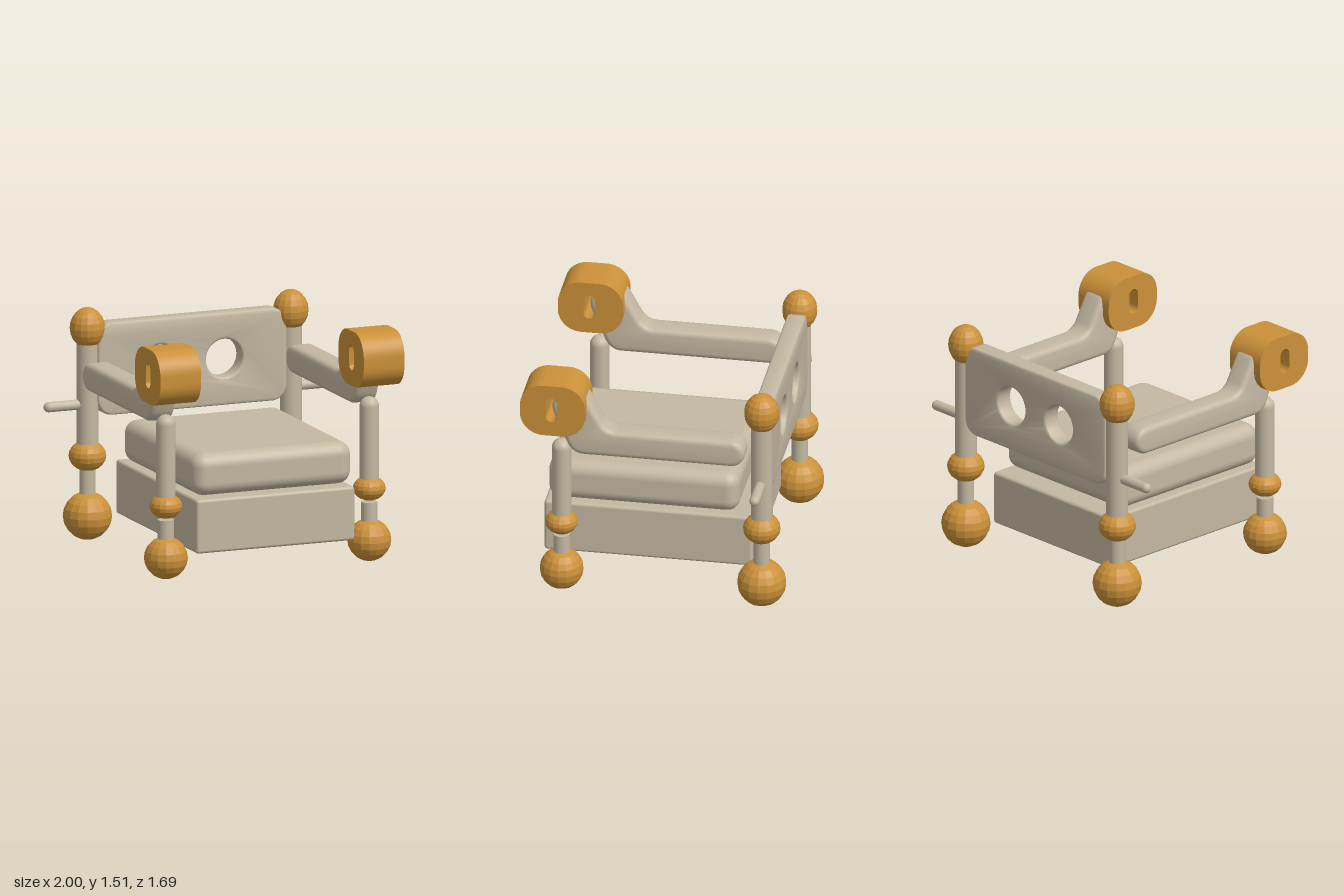
import * as THREE from 'three';
import { toCreasedNormals } from 'three/addons/utils/BufferGeometryUtils.js';
import { RoundedBoxGeometry } from 'three/addons/geometries/RoundedBoxGeometry.js';

export function createModel() {
  const model = new THREE.Group();
  model.name = 'armchair';
  const stone = new THREE.MeshStandardMaterial({ color: 0xc4b8a2 });
  stone.name = 'warm stone';
  const amber = new THREE.MeshStandardMaterial({ color: 0xcb9139 });
  amber.name = 'amber';

  const add = (name, geometry, material, x = 0, y = 0, z = 0) => {
    const mesh = new THREE.Mesh(geometry, material);
    mesh.name = name;
    mesh.position.set(x, y, z);
    model.add(mesh);
    return mesh;
  };

  // Extrusion centred on its depth, with the bevel kept inside the outline
  const slab = (shape, depth, bevel, curveSegments = 12) => {
    const g = new THREE.ExtrudeGeometry(shape, {
      depth: depth - 2 * bevel, bevelEnabled: true, bevelSize: bevel, bevelThickness: bevel,
      bevelOffset: -bevel, bevelSegments: 4, curveSegments,
    });
    g.translate(0, 0, bevel - depth / 2);
    return toCreasedNormals(g, 0.6);
  };

  const roundedRect = (x0, y0, x1, y1, r, Type = THREE.Shape) => {
    const s = new Type();
    s.absarc(x1 - r, y0 + r, r, -Math.PI / 2, 0);
    s.absarc(x1 - r, y1 - r, r, 0, Math.PI / 2);
    s.absarc(x0 + r, y1 - r, r, Math.PI / 2, Math.PI);
    s.absarc(x0 + r, y0 + r, r, Math.PI, Math.PI * 1.5);
    s.closePath();
    return s;
  };

  // Faceted ball, optionally squashed
  const ball = (name, r, ry, x, y, z) => {
    const g = new THREE.SphereGeometry(1, 16, 10).scale(r, ry, r).toNonIndexed();
    g.computeVertexNormals();
    add(name, g, amber, x, y, z);
  };

  const post = (name, r, y0, y1, x, z) =>
    add(name, new THREE.CylinderGeometry(r, r, y1 - y0, 24), stone, x, (y0 + y1) / 2, z);

  // Seat
  add('seatBase', new RoundedBoxGeometry(1.09, 0.35, 1.34, 3, 0.02), stone, 0, 0.355, 0.07);
  add('seatCushion', new RoundedBoxGeometry(1.09, 0.275, 1.23, 5, 0.085), stone, 0, 0.677, 0.105);

  // Backrest with two round openings
  const back = roundedRect(-0.65, 0.81, 0.65, 1.41, 0.1);
  for (const x of [-0.22, 0.22]) {
    back.holes.push(new THREE.Path().absarc(x, 1.115, 0.124, 0, Math.PI * 2, true));
  }
  add('backrest', slab(back, 0.12, 0.018, 20), stone, 0, 0, -0.69);

  // Side profile of an armrest, drawn as (z, y)
  const arm = new THREE.Shape();
  arm.moveTo(-0.5, 1.01);
  arm.lineTo(0.46, 1.01);
  arm.quadraticCurveTo(0.53, 1.02, 0.56, 1.1);
  arm.lineTo(0.64, 1.29);
  arm.bezierCurveTo(0.68, 1.39, 0.6, 1.44, 0.54, 1.44);
  arm.quadraticCurveTo(0.45, 1.45, 0.415, 1.395);
  arm.lineTo(0.335, 1.25);
  arm.quadraticCurveTo(0.3, 1.19, 0.23, 1.19);
  arm.lineTo(-0.5, 1.19);
  arm.absarc(-0.5, 1.1, 0.09, Math.PI / 2, Math.PI * 1.5);

  // Rounded block with a slot, drawn as (z, y)
  const block = roundedRect(0.425, 1.165, 0.845, 1.52, 0.15);
  block.holes.push(roundedRect(0.605, 1.265, 0.68, 1.43, 0.037, THREE.Path));

  const blockGeometry = toCreasedNormals(new THREE.ExtrudeGeometry(block, {
    depth: 0.28, bevelEnabled: false, curveSegments: 8,
  }).translate(0, 0, -0.14), 0.4);

  for (const [side, x] of [['left', 0.7], ['right', -0.7]]) {
    // Armrest and its end block
    add(side + 'Armrest', slab(arm, 0.17, 0.035), stone, x).rotation.y = -Math.PI / 2;
    add(side + 'ArmBlock', blockGeometry, amber, x).rotation.y = -Math.PI / 2;

    // Front leg
    ball(side + 'FrontFoot', 0.14, 0.137, x, 0.145, 0.6);
    post(side + 'FrontShank', 0.053, 0.2, 0.392, x, 0.6);
    ball(side + 'FrontKnob', 0.105, 0.08, x, 0.48, 0.6);
    add(side + 'FrontPost', new THREE.CapsuleGeometry(0.062, 0.476, 8, 24), stone, x, 0.775, 0.6);

    // Rear leg
    ball(side + 'RearFoot', 0.157, 0.155, x, 0.16, -0.69);
    post(side + 'RearShank', 0.052, 0.2, 0.55, x, -0.69);
    ball(side + 'RearKnob', 0.12, 0.1, x, 0.55, -0.69);
    post(side + 'RearPost', 0.07, 0.6, 1.32, x, -0.69);
    ball(side + 'Finial', 0.113, 0.132, x, 1.38, -0.69);

    // Side peg
    const peg = add(side + 'Peg', new THREE.CapsuleGeometry(0.033, 0.234, 6, 16), stone, x * 1.214, 0.885, -0.69);
    peg.rotation.z = Math.PI / 2;
  }

  return model;
}
